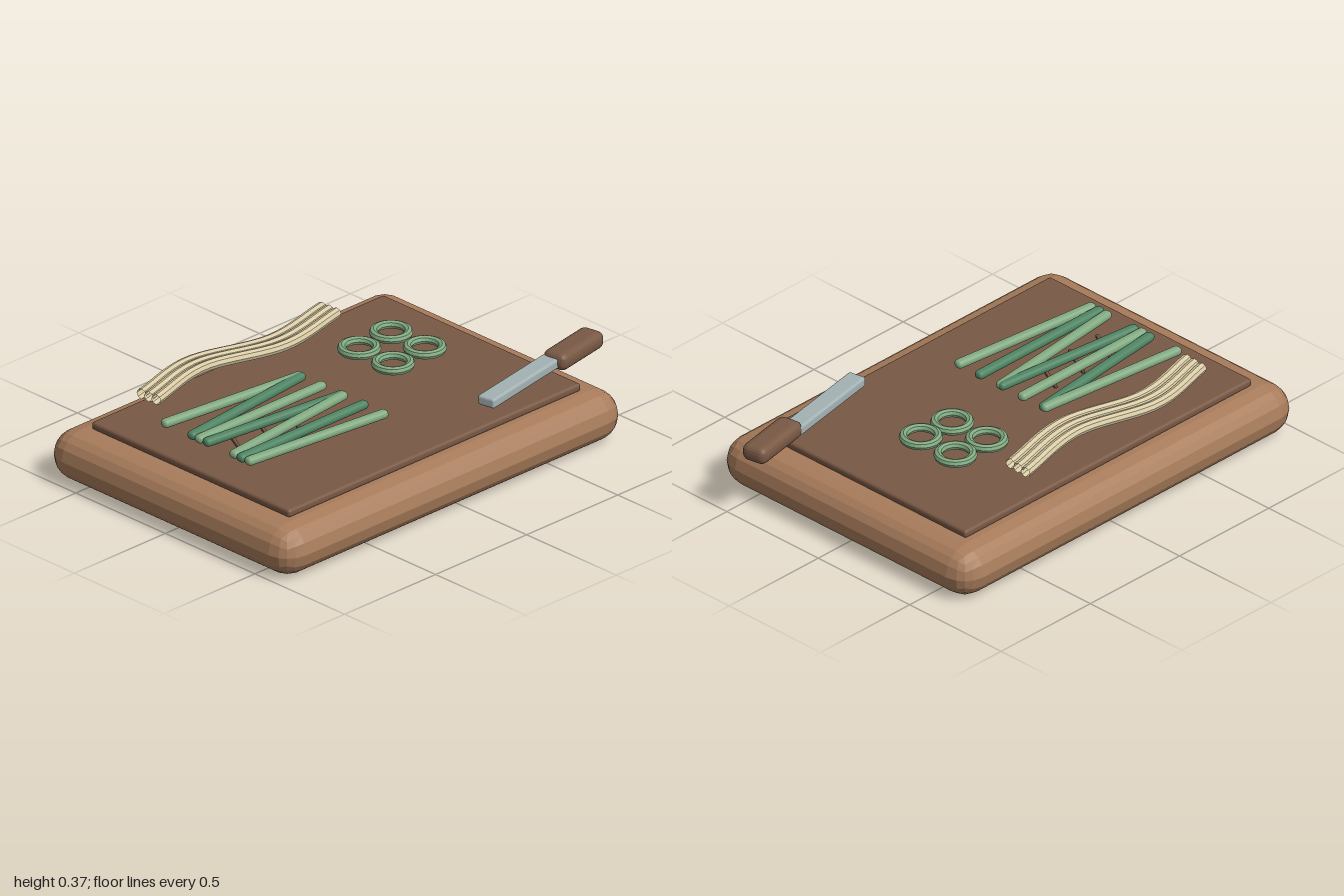
import * as THREE from 'three';
import { RoundedBoxGeometry } from 'three/addons/geometries/RoundedBoxGeometry.js';

const material = (name, color) => {
  const m = new THREE.MeshStandardMaterial({ color, flatShading: true });
  m.name = name;
  return m;
};

export function createModel() {
  const model = new THREE.Group();
  model.name = 'choppingBoard';

  const wood = material('wood', 0xa87c5b);
  const darkWood = material('dark wood', 0x785844);
  const lightGreen = material('light green', 0x82aa82);
  const darkGreen = material('dark green', 0x4f8463);
  const cream = material('cream', 0xdaccA6);
  cream.side = THREE.DoubleSide;
  const steel = material('steel', 0xa4b2b4);

  const add = (name, geometry, mat, x, y, z, turn = 0) => {
    const mesh = new THREE.Mesh(geometry, mat);
    mesh.name = name;
    mesh.position.set(x, y, z);
    mesh.rotation.y = turn;
    model.add(mesh);
    return mesh;
  };
  const block = (w, h, d, r, segments = 2) => new RoundedBoxGeometry(w, h, d, segments, r);

  // Board with a raised dark panel
  add('board', block(1.88, 0.214, 1.365, 0.106), wood, -0.06, 0.107, -0.003);
  add('boardPanel', block(1.605, 0.034, 1.105, 0.012), darkWood, -0.06, 0.228, -0.002);

  // Thin slanted slivers under the sticks
  for (let i = 0; i < 3; i++) {
    add('sliver', block(0.175, 0.013, 0.016, 0.005, 1), darkWood,
      -0.617 + i * 0.155, 0.257, 0.015, 1.1);
  }

  // Fanned vegetable sticks in alternating greens
  const turns = [-0.108, 0.108, 0];
  for (let i = 0; i < 7; i++) {
    add('vegetableStick', block(0.702, 0.036, 0.042, 0.017),
      i % 2 ? darkGreen : lightGreen, -0.41, 0.301, -0.224 + i * 0.078, turns[i % 3]);
  }

  // Sliced rings
  const ring = new THREE.TorusGeometry(0.069, 0.018, 8, 24).rotateX(Math.PI / 2);
  for (const [x, y] of [[0.258, 0.304], [0.433, 0.313]]) {
    for (const z of [-0.197, -0.008]) add('ring', ring, lightGreen, x, y, z);
  }

  // Three wavy strands side by side
  const path = new THREE.CatmullRomCurve3([
    [-0.68, 0.338, -0.418], [-0.36, 0.342, -0.488], [0.01, 0.34, -0.404], [0.365, 0.337, -0.472],
  ].map((p) => new THREE.Vector3(...p)));
  const strand = new THREE.TubeGeometry(path, 24, 0.022, 8);
  for (const side of [-1, 0, 1]) {
    add('strand', strand, cream, 0, 0.002 * side, side * 0.041);
  }

  // Knife overhanging the board edge
  add('knifeBlade', block(0.46, 0.042, 0.079, 0.01), steel, 0.505, 0.301, 0.446, 0.182);
  add('knifeHandle', block(0.287, 0.074, 0.112, 0.03), darkWood, 0.85, 0.305, 0.398, 0.182);

  return model;
}
